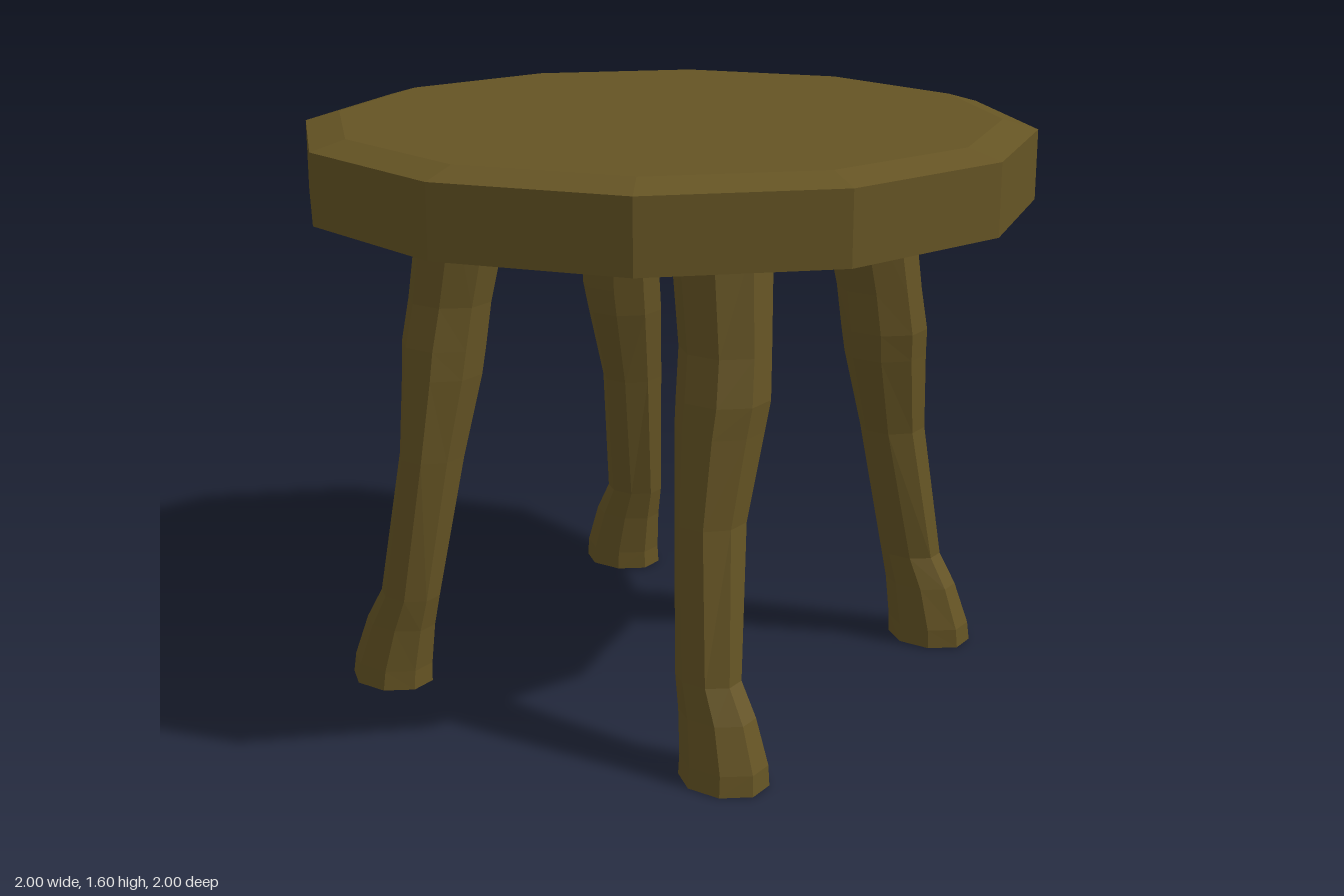
import * as THREE from 'three';

const wood = new THREE.MeshStandardMaterial({ color: 0x655424, flatShading: true, roughness: 0.9 });
const legWood = wood.clone();
legWood.side = THREE.DoubleSide; // legs are open tubes

// Leg cross-sections from foot to top: y, inner x, outer x, inner z, outer z
const SECTIONS = [
  [0.005, 0.45, 0.68, 0.473, 0.66],
  [0.06, 0.45, 0.675, 0.474, 0.652],
  [0.18, 0.437, 0.635, 0.48, 0.63],
  [0.27, 0.42, 0.587, 0.48, 0.615],
  [0.67, 0.378, 0.55, 0.393, 0.57],
  [0.9, 0.35, 0.567, 0.33, 0.538],
  [0.98, 0.345, 0.575, 0.315, 0.525],
  [1.1, 0.338, 0.565, 0.3, 0.5],
  [1.39, 0.29, 0.54, 0.25, 0.48],
];

// Gnarled leg: an eight-sided tube through the cross-sections
function legGeometry(sides = 8) {
  const positions = [], index = [];
  const fit = 1 / Math.cos(Math.PI / sides);
  SECTIONS.forEach(([y, x0, x1, z0, z1], row) => {
    for (let i = 0; i < sides; i++) {
      const a = ((i + 0.5) / sides) * Math.PI * 2;
      positions.push(
        (x0 + x1) / 2 + ((x1 - x0) / 2) * fit * Math.cos(a),
        y,
        (z0 + z1) / 2 + ((z1 - z0) / 2) * fit * Math.sin(a)
      );
      if (row === 0) continue;
      const next = (i + 1) % sides;
      const a0 = (row - 1) * sides + i, b0 = (row - 1) * sides + next;
      const a1 = row * sides + i, b1 = row * sides + next;
      index.push(a0, a1, b0, b0, a1, b1);
    }
  });
  const geometry = new THREE.BufferGeometry();
  geometry.setAttribute('position', new THREE.Float32BufferAttribute(positions, 3));
  geometry.setIndex(index);
  geometry.computeVertexNormals();
  return geometry;
}

export function createModel() {
  const stool = new THREE.Group();
  stool.name = 'stool';

  // Twelve-sided seat with a shallow bevel round the top
  const profile = [[0, 1.38], [1, 1.38], [1, 1.57], [0.905, 1.597], [0, 1.6]];
  const seat = new THREE.Mesh(
    new THREE.LatheGeometry(profile.map(([r, y]) => new THREE.Vector2(r, y)), 12),
    wood
  );
  seat.name = 'seat';
  stool.add(seat);

  // Four legs, mirrored left to right and front to back
  const geometry = legGeometry();
  for (const [sx, side] of [[1, 'Left'], [-1, 'Right']]) {
    for (const [sz, end] of [[1, 'front'], [-1, 'back']]) {
      const leg = new THREE.Mesh(geometry, legWood);
      leg.scale.set(sx, 1, sz);
      leg.name = `${end}${side}Leg`;
      stool.add(leg);
    }
  }
  return stool;
}
